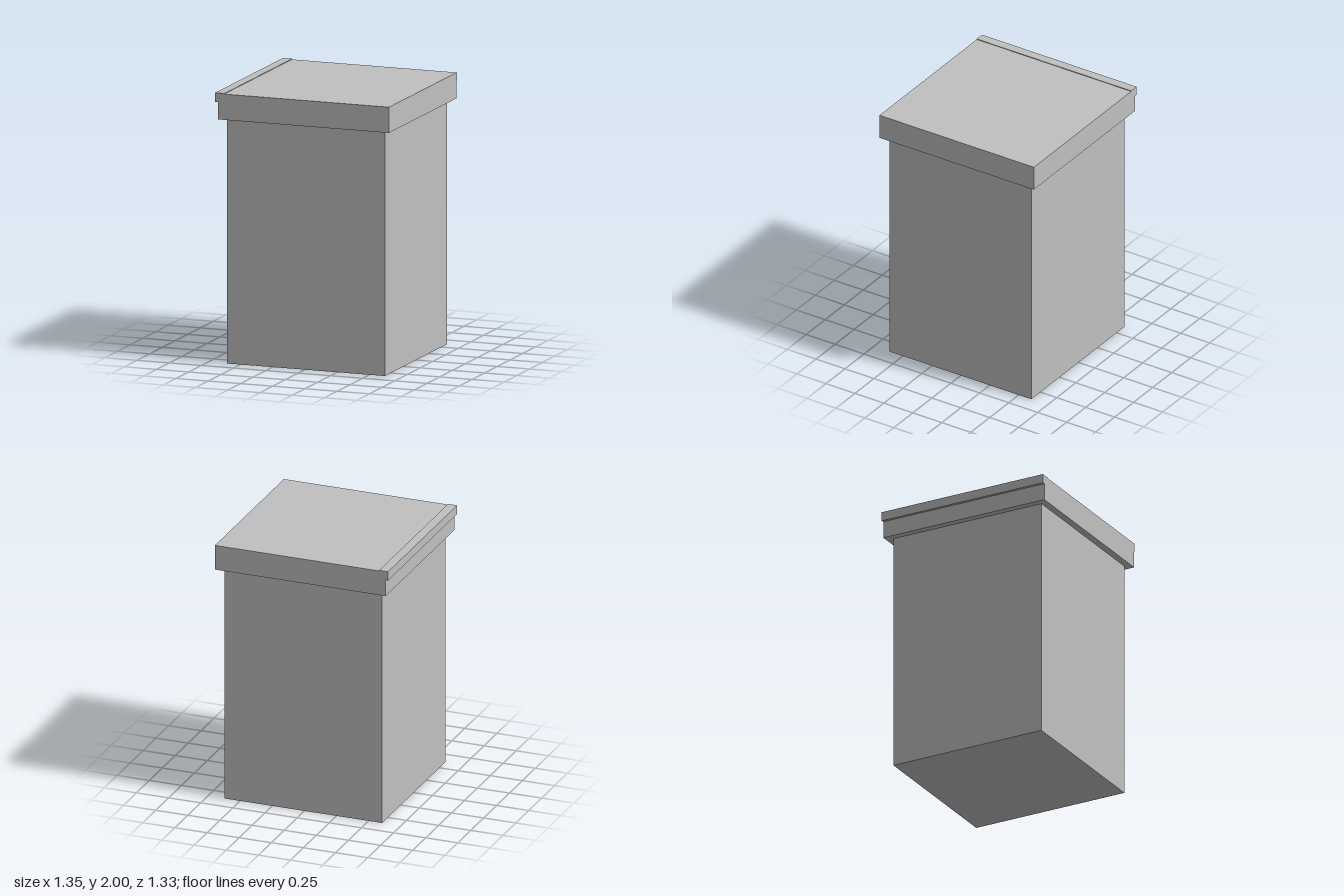
import * as THREE from 'three';

export function createModel() {
  const group = new THREE.Group();
  const grey = new THREE.MeshStandardMaterial({ color: 0xc0c0c0 });
  grey.name = 'light grey';

  // Box spanning two opposite corners
  const addBox = (name, [x0, y0, z0], [x1, y1, z1]) => {
    const mesh = new THREE.Mesh(new THREE.BoxGeometry(x1 - x0, y1 - y0, z1 - z0), grey);
    mesh.position.set((x0 + x1) / 2, (y0 + y1) / 2, (z0 + z1) / 2);
    mesh.name = name;
    group.add(mesh);
  };

  // Tall bin body
  addBox('body', [-0.605, 0, -0.61], [0.62, 1.805, 0.615]);
  // Overhanging collar under the lid
  addBox('collar', [-0.655, 1.805, -0.665], [0.672, 1.932, 0.667]);
  // Lid panel, with a slightly raised strip along its right edge
  addBox('lid', [-0.605, 1.932, -0.667], [0.673, 1.995, 0.667]);
  addBox('lidEdgeStrip', [-0.675, 1.932, -0.667], [-0.605, 2, 0.667]);

  return group;
}
